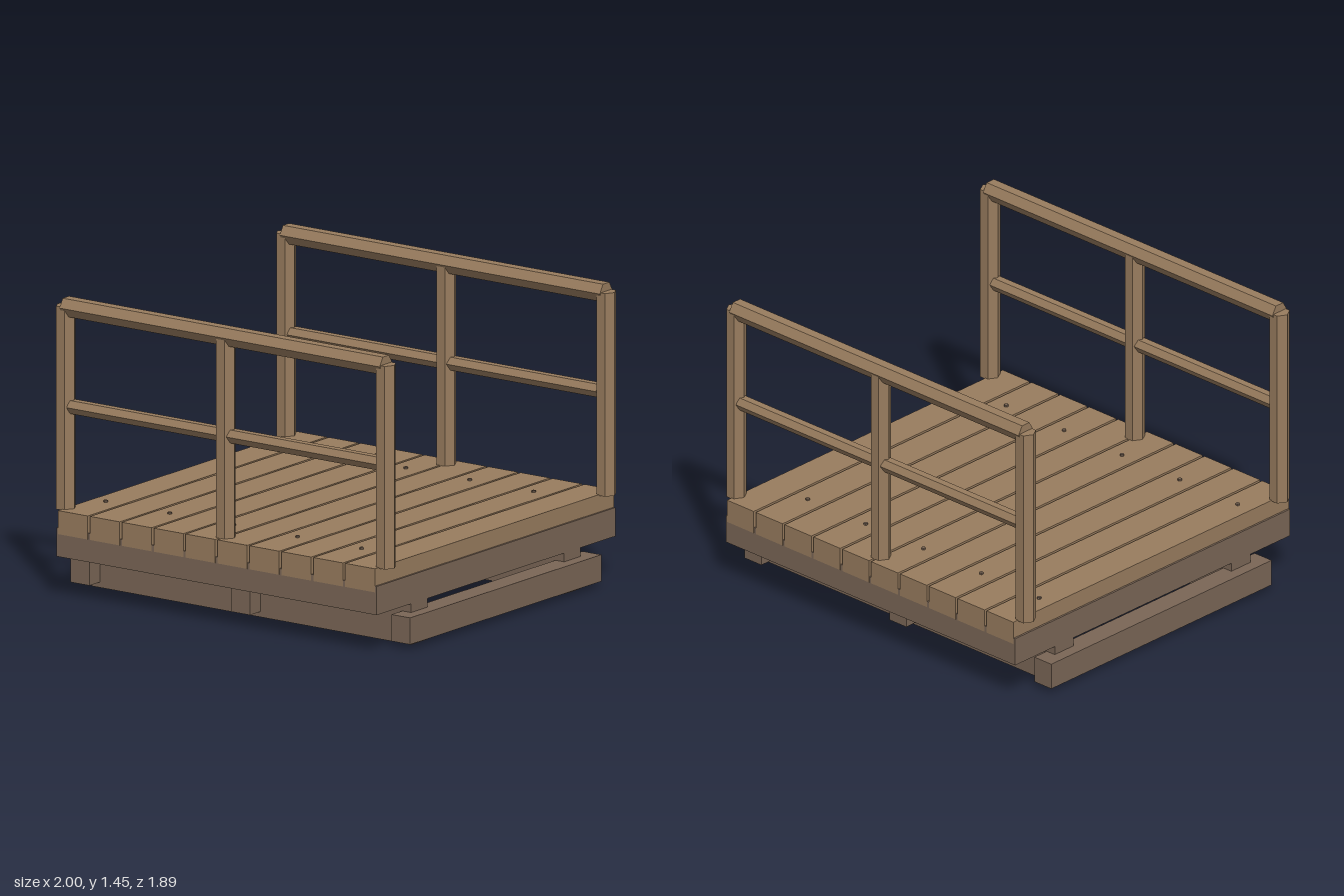
import * as THREE from 'three';

export function createModel() {
  const root = new THREE.Group();
  root.name = 'woodenPlatform';
  const lightWood = new THREE.MeshStandardMaterial({ color: 0x987c5e, flatShading: true });
  lightWood.name = 'light wood';
  const darkWood = new THREE.MeshStandardMaterial({ color: 0x7a6656, flatShading: true });
  darkWood.name = 'dark wood';

  const add = (name, geometry, material, x, y, z, parent = root) => {
    const mesh = new THREE.Mesh(geometry, material);
    mesh.name = name;
    mesh.position.set(x, y, z);
    parent.add(mesh);
  };
  // Box given by its x, y and z ranges
  const box = (name, material, [x0, x1], [y0, y1], [z0, z1]) =>
    add(name, new THREE.BoxGeometry(x1 - x0, y1 - y0, z1 - z0), material,
      (x0 + x1) / 2, (y0 + y1) / 2, (z0 + z1) / 2);

  // Base: two cross beams and three skids
  for (const z of [-0.605, 0.605])
    box('crossBeam', darkWood, [-0.942, 0.942], [0, 0.205], [z - 0.065, z + 0.065]);
  for (const x of [-0.945, 0, 0.945])
    box('skid', darkWood, [x - 0.055, x + 0.055], [0.027, 0.157], [-0.755, 0.755]);

  // Deck: solid slab topped by ten planks with narrow gaps
  box('deckSlab', darkWood, [-0.943, 0.943], [0.2, 0.34], [-0.943, 0.943]);
  const pitch = 0.188;
  for (let i = 0; i < 10; i++) {
    const x = (i - 4.5) * pitch;
    box('plank', lightWood, [x - 0.087, x + 0.087], [0.31, 0.425], [-0.945, 0.945]);
  }

  // Nail heads on every other plank
  const nail = new THREE.CylinderGeometry(0.01, 0.01, 0.015, 8);
  for (let i = 0; i < 5; i++)
    for (const z of [-0.68, 0.68])
      add('nail', nail, darkWood, -0.85 + i * 0.377, 0.427, z);

  // Hexagonal timbers for the railings
  const post = (height) => new THREE.CylinderGeometry(0.05, 0.05, height, 6).rotateY(Math.PI / 6);
  const rail = (radius, length) => new THREE.CylinderGeometry(radius, radius, length, 6).rotateZ(Math.PI / 2);

  for (const z of [-0.87, 0.87]) {
    const railing = new THREE.Group();
    railing.name = z > 0 ? 'frontRailing' : 'backRailing';
    root.add(railing);
    for (const x of [-0.943, 0, 0.943]) {
      const top = x === 0 ? 1.4 : 1.41;
      add('post', post(top - 0.42), lightWood, x, (top + 0.42) / 2, z, railing);
    }
    add('topRail', rail(0.05, 1.886), lightWood, 0, 1.405, z, railing);
    for (const x of [-0.47, 0.47])
      add('middleRail', rail(0.037, 0.88), lightWood, x, 0.922, z, railing);
  }
  return root;
}
